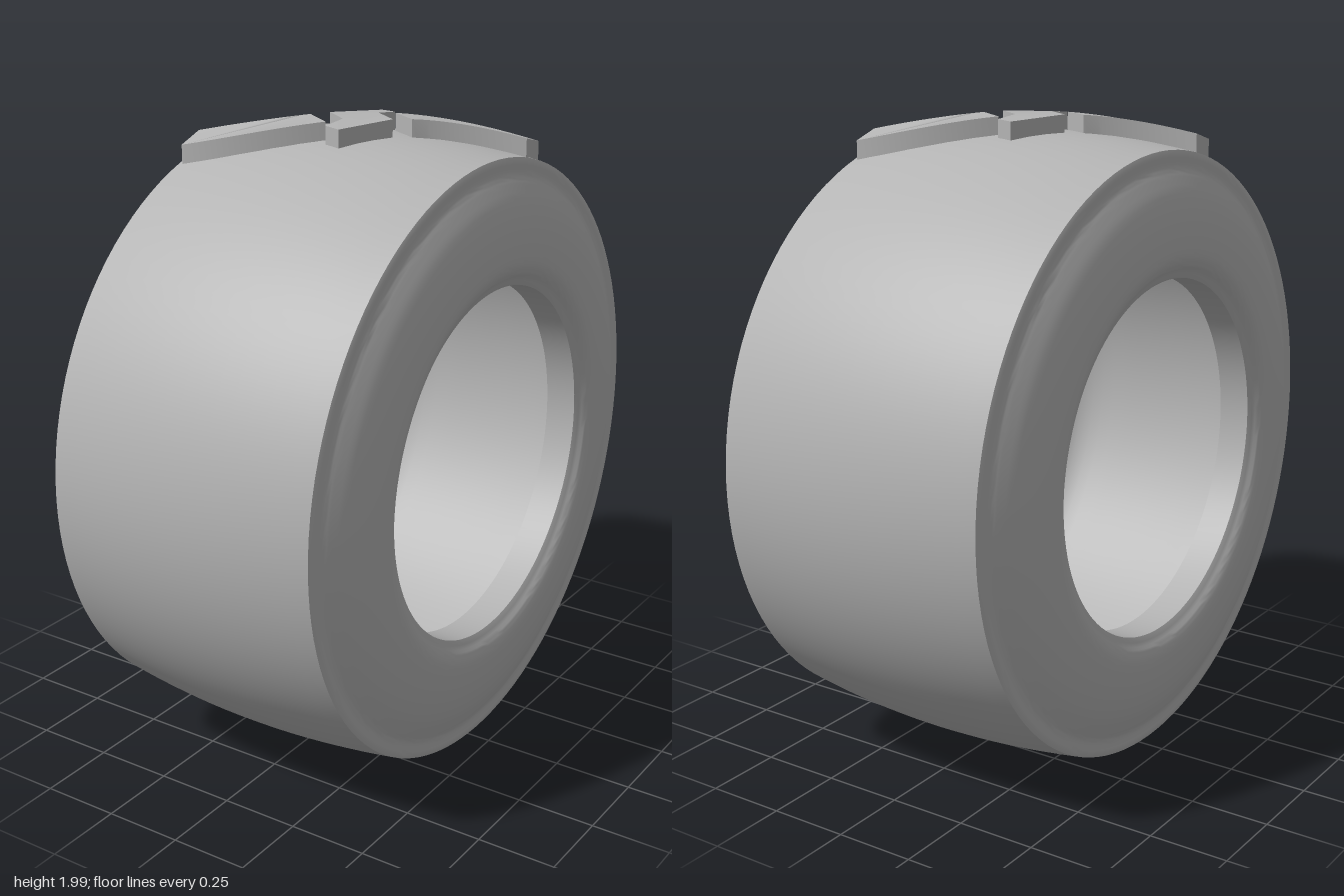
import * as THREE from 'three';
import { toCreasedNormals } from 'three/addons/utils/BufferGeometryUtils.js';

const AXLE_Y = 0.974;
const LUG_HEIGHT = 0.055;

// Crowned tread: radius from the axle at a given x
const treadRadius = (x) => 0.971 - 0.034 * (x / 0.45) ** 2;

// Smooth run through a few [x, radius] points
function smoothRun(points, divisions) {
  const curve = new THREE.CatmullRomCurve3(points.map(([x, r]) => new THREE.Vector3(x, r, 0)));
  return curve.getPoints(divisions).map((p) => [p.x, p.y]);
}

function tyreGeometry() {
  const tread = [];
  for (let i = 0; i <= 8; i++) {
    const x = (0.45 * i) / 8;
    tread.push([x, treadRadius(x)]);
  }
  const sidewall = smoothRun([
    [0.455, 0.925], [0.453, 0.885], [0.464, 0.86], [0.486, 0.81],
    [0.504, 0.74], [0.513, 0.66], [0.512, 0.62], [0.502, 0.592],
  ], 28);
  const bead = [[0.494, 0.585], [0.489, 0.572], [0.48, 0.557], [0.38, 0.557]];
  const cavity = smoothRun([
    [0.38, 0.575], [0.42, 0.66], [0.42, 0.75], [0.39, 0.84], [0.32, 0.88], [0.16, 0.892], [0, 0.895],
  ], 24);

  // Half section from tread centre to cavity centre, mirrored into a closed loop
  const half = [...tread, ...sidewall, ...bead, ...cavity];
  const mirrored = half.slice(0, -1).reverse().map(([x, r]) => [-x, r]);
  const section = [...half, ...mirrored].map(([x, r]) => new THREE.Vector2(r, x));
  const geometry = new THREE.LatheGeometry(section, 112);
  geometry.rotateZ(-Math.PI / 2);
  return toCreasedNormals(geometry, 0.6);
}

// Raised tread piece: a plan outline wrapped onto the crowned tread
function lugGeometry(shape) {
  const geometry = new THREE.ExtrudeGeometry(shape, { depth: 1, bevelEnabled: false, curveSegments: 14 });
  geometry.rotateX(-Math.PI / 2);
  const pos = geometry.attributes.position;
  for (let i = 0; i < pos.count; i++) {
    const x = pos.getX(i);
    const z = pos.getZ(i);
    const radius = treadRadius(x) + (pos.getY(i) > 0.5 ? LUG_HEIGHT : -0.03);
    pos.setY(i, Math.sqrt(radius * radius - z * z));
  }
  return toCreasedNormals(geometry, 0.5);
}

export function createModel() {
  const model = new THREE.Group();
  model.name = 'tyre';
  const rubber = new THREE.MeshStandardMaterial({ color: 0xb4b4b4 });
  rubber.name = 'grey rubber';

  const add = (name, geometry) => {
    const mesh = new THREE.Mesh(geometry, rubber);
    mesh.name = name;
    mesh.position.y = AXLE_Y;
    model.add(mesh);
    return mesh;
  };

  add('tyreBody', tyreGeometry());

  // Curved side lugs, one turned half round from the other
  const lug = new THREE.Shape();
  lug.moveTo(0.15, 0.05);
  lug.quadraticCurveTo(0.26, 0.159, 0.447, 0.22);
  lug.lineTo(0.435, 0.32);
  lug.quadraticCurveTo(0.232, 0.283, 0.05, 0.115);
  lug.closePath();
  const sideLug = lugGeometry(lug);
  add('leftLug', sideLug);
  add('rightLug', sideLug).rotation.y = Math.PI;

  // Zigzag centre block with half-turn symmetry
  const zigzag = [[-0.03, 0.165], [0.027, 0.149], [0.02, 0.068], [0.11, 0.005]];
  const outline = [...zigzag, ...zigzag.map(([x, y]) => [-x, -y])];
  add('centreBlock', lugGeometry(new THREE.Shape(outline.map(([x, y]) => new THREE.Vector2(x, y)))));

  return model;
}
